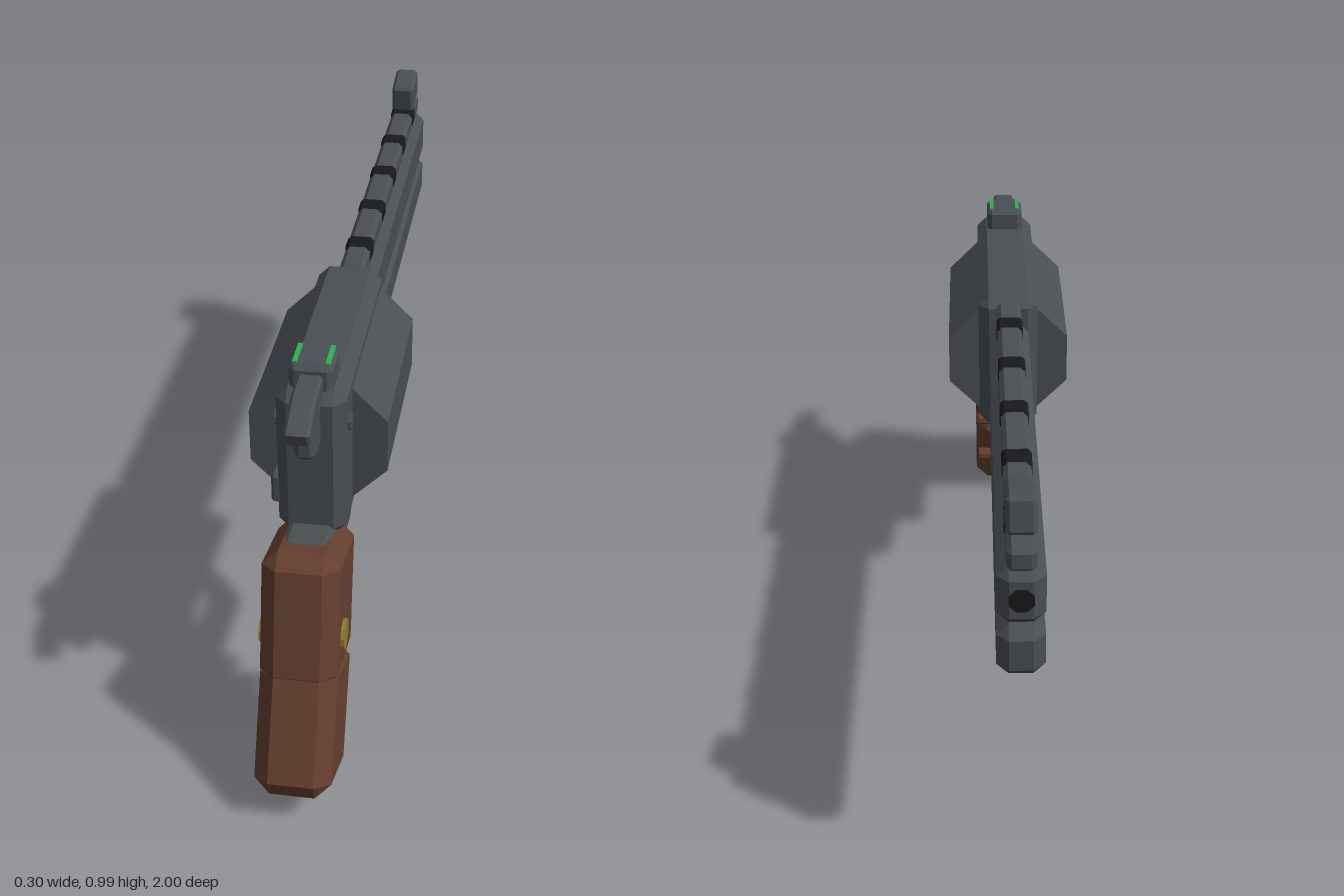
import * as THREE from 'three';
import { ConvexGeometry } from 'three/addons/geometries/ConvexGeometry.js';

const flat = (name, color) => {
  const m = new THREE.MeshStandardMaterial({ color, flatShading: true });
  m.name = name;
  return m;
};

export function createModel() {
  const model = new THREE.Group();
  model.name = 'revolver';
  const metal = flat('gunmetal', 0x4a4f53);
  const black = flat('black', 0x17191a);
  const wood = flat('brown grip', 0x653f2f);
  const brass = flat('brass', 0x917a35);
  const green = flat('green sight', 0x2fb04c);

  const add = (name, geo, mat, x = 0, y = 0, z = 0, tilt = 0) => {
    const mesh = new THREE.Mesh(geo, mat);
    mesh.name = name;
    mesh.position.set(x, y, z);
    mesh.rotation.x = tilt;
    model.add(mesh);
    return mesh;
  };

  // box with every edge chamfered
  const chamferBox = (w, h, d, c) => {
    const pts = [];
    for (const sx of [-1, 1]) for (const sy of [-1, 1]) for (const sz of [-1, 1]) {
      for (let a = 0; a < 3; a++) {
        const inset = [c, c, c];
        inset[a] = 0;
        pts.push(new THREE.Vector3(
          sx * (w / 2 - inset[0]), sy * (h / 2 - inset[1]), sz * (d / 2 - inset[2])));
      }
    }
    return new ConvexGeometry(pts);
  };
  // chamfered box given by its ranges in y and z
  const block = (name, mat, w, y0, y1, z0, z1, c) =>
    add(name, chamferBox(w, y1 - y0, z1 - z0, c), mat, 0, (y0 + y1) / 2, (z0 + z1) / 2);

  // side profile of [z, y] points, extruded across x
  const profile = (name, mat, w, points, bevel = 0.006) => {
    const shape = new THREE.Shape(points.map(([z, y]) => new THREE.Vector2(z, y)));
    const geo = new THREE.ExtrudeGeometry(shape, {
      depth: w - 2 * bevel, bevelEnabled: true, bevelSize: bevel,
      bevelThickness: bevel, bevelOffset: -bevel, bevelSegments: 1 });
    geo.translate(0, 0, bevel - w / 2).rotateY(-Math.PI / 2);
    return add(name, geo, mat);
  };
  const rod = (r, length, sides, axis) => {
    const geo = new THREE.CylinderGeometry(r, r, length, sides);
    geo.rotateY(Math.PI / sides);
    return axis === 'x' ? geo.rotateZ(Math.PI / 2) : geo.rotateX(Math.PI / 2);
  };

  // frame and octagonal cylinder
  block('frame', metal, 0.146, 0.557, 0.911, 0.108, 0.693, 0.025);
  add('cylinder', rod(0.148 / Math.cos(Math.PI / 8), 0.445, 8, 'z'), metal, 0, 0.7325, 0.368);
  for (const s of [-1, 1]) add('framePin', rod(0.018, 0.012, 8, 'x'), metal, s * 0.074, 0.82, 0.638);
  add('cylinderLatch', chamferBox(0.03, 0.07, 0.07, 0.006), metal, -0.074, 0.655, 0.635);

  // barrels, rail and bore
  block('barrel', metal, 0.096, 0.727, 0.858, -0.998, 0.112, 0.024);
  block('underBarrel', metal, 0.096, 0.605, 0.722, -0.998, 0.112, 0.024);
  block('barrelCore', metal, 0.04, 0.66, 0.88, -0.965, 0.11, 0.005);
  block('topRail', metal, 0.058, 0.853, 0.905, -0.998, 0.11, 0.01);
  block('barrelJoint', black, 0.084, 0.7, 0.75, 0.075, 0.115, 0.006);
  add('bore', rod(0.027, 0.006, 8, 'z'), black, 0, 0.792, -0.997);
  for (let i = 0; i < 5; i++) {
    const z = -0.012 - i * 0.2125;
    block('railSlot', black, 0.062, 0.864, 0.908, z - 0.031, z + 0.031, 0.008);
  }

  // sights
  add('frontSight', chamferBox(0.06, 0.078, 0.112, 0.008), metal, 0, 0.946, -0.91, 0.18);
  block('rearSight', metal, 0.092, 0.895, 0.964, 0.573, 0.672, 0.012);
  for (const s of [-1, 1]) {
    add('rearSightMark', new THREE.BoxGeometry(0.01, 0.006, 0.074), green, s * 0.034, 0.9635, 0.622);
  }

  // hammer
  block('hammer', metal, 0.046, 0.79, 0.942, 0.66, 0.757, 0.012);
  profile('hammerSpur', metal, 0.052,
    [[0.66, 0.945], [0.752, 0.943], [0.838, 0.906], [0.825, 0.876], [0.745, 0.906], [0.66, 0.906]]);

  // tang and trigger housing
  profile('tang', metal, 0.1,
    [[0.51, 0.58], [0.78, 0.594], [0.75, 0.5], [0.6, 0.4], [0.535, 0.43], [0.53, 0.5]], 0.012);
  profile('trigger', metal, 0.03,
    [[0.56, 0.57], [0.515, 0.57], [0.518, 0.5], [0.535, 0.455], [0.56, 0.46]], 0.004);

  // trigger guard
  profile('triggerGuard', metal, 0.075,
    [[0.62, 0.42], [0.397, 0.418], [0.325, 0.55], [0.298, 0.537], [0.38, 0.392], [0.62, 0.393]]);

  // two-part grip
  add('upperGrip', chamferBox(0.166, 0.31, 0.25, 0.034), wood, 0, 0.43, 0.752, -0.235);
  add('lowerGrip', chamferBox(0.166, 0.3, 0.25, 0.034), wood, 0, 0.182, 0.835, -0.436);

  // finger ridges across the front of the grip
  for (const [y, z] of [[0.4, 0.62], [0.295, 0.642], [0.14, 0.705]]) {
    add('fingerRidge', rod(0.018, 0.15, 8, 'x'), wood, 0, y, z);
  }
  // grip medallions
  for (const s of [-1, 1]) add('medallion', rod(0.033, 0.012, 10, 'x'), brass, s * 0.085, 0.393, 0.803);

  return model;
}
